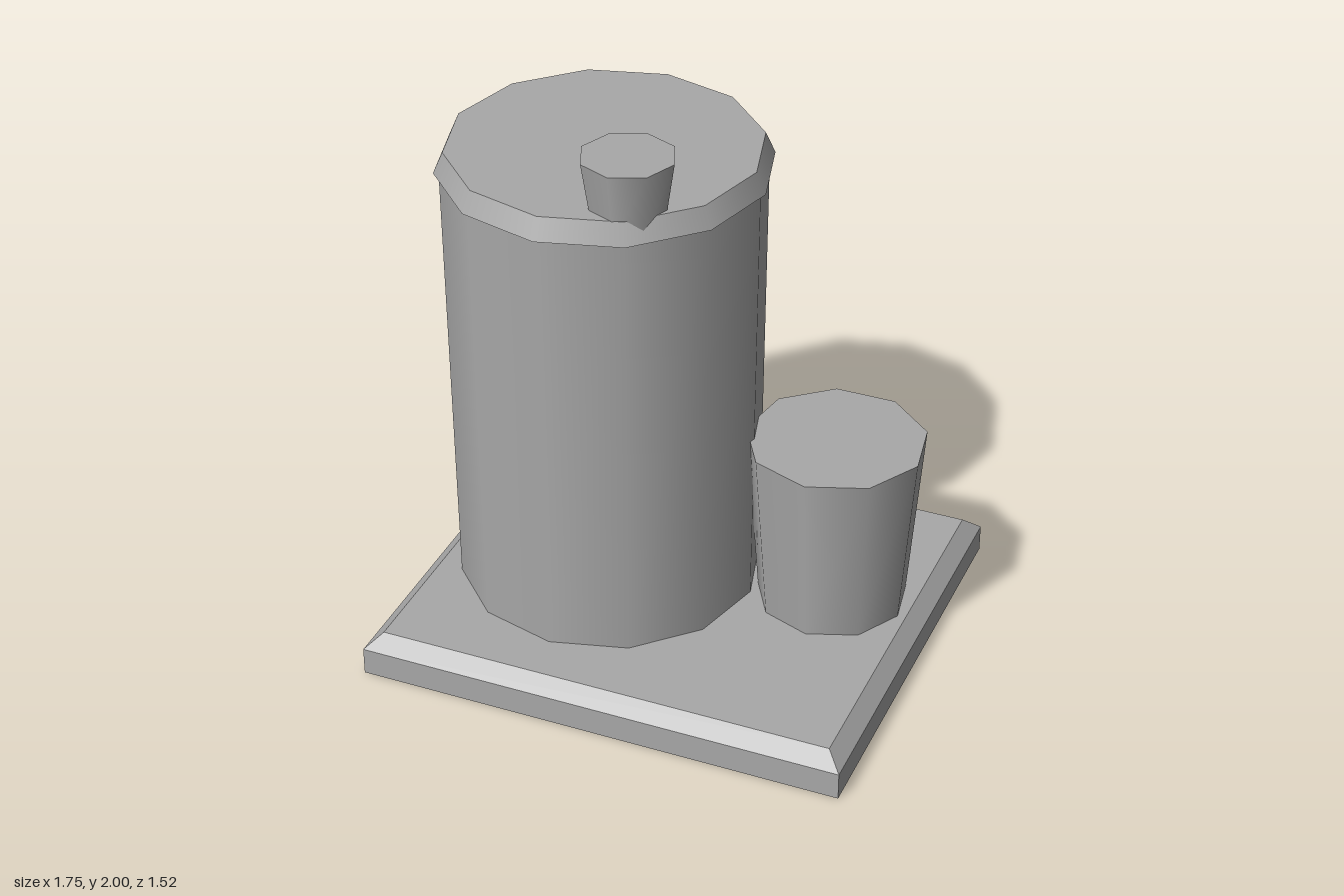
import * as THREE from 'three';

const grey = new THREE.MeshStandardMaterial({ color: 0xa8a8a8 });
grey.name = 'grey';

function add(group, name, geometry, x, y, z) {
  const mesh = new THREE.Mesh(geometry, grey);
  mesh.name = name;
  mesh.position.set(x, y, z);
  group.add(mesh);
}

// Tapered drum standing between two heights
function drum(group, name, rTop, rBottom, yBottom, yTop, sides, x, z) {
  const geometry = new THREE.CylinderGeometry(rTop, rBottom, yTop - yBottom, sides);
  add(group, name, geometry, x, (yTop + yBottom) / 2, z);
}

// Box whose upper face is drawn in on all sides
function bevelledSlab(w, h, d, inset) {
  const geometry = new THREE.BoxGeometry(w, h, d);
  const p = geometry.attributes.position;
  for (let i = 0; i < p.count; i++) {
    if (p.getY(i) < 0) continue;
    p.setX(i, p.getX(i) - Math.sign(p.getX(i)) * inset);
    p.setZ(i, p.getZ(i) - Math.sign(p.getZ(i)) * inset);
  }
  geometry.computeVertexNormals();
  return geometry;
}

export function createModel() {
  const group = new THREE.Group();

  // Square base with a bevelled upper edge
  add(group, 'basePlate', new THREE.BoxGeometry(1.75, 0.1, 1.52), 0, 0.05, 0);
  add(group, 'baseBevel', bevelledSlab(1.75, 0.052, 1.52, 0.055), 0, 0.126, 0);

  // Large tank and its sloped lid
  drum(group, 'tank', 0.55, 0.535, 0.14, 1.77, 12, -0.27, 0);
  drum(group, 'lid', 0.535, 0.568, 1.757, 1.832, 12, -0.27, 0);

  // Short vent sunk into the lid, and the small side tank
  drum(group, 'vent', 0.16, 0.124, 1.76, 2, 8, -0.04, 0.34);
  drum(group, 'sideTank', 0.315, 0.265, 0.15, 0.8, 9, 0.53, -0.11);

  return group;
}
